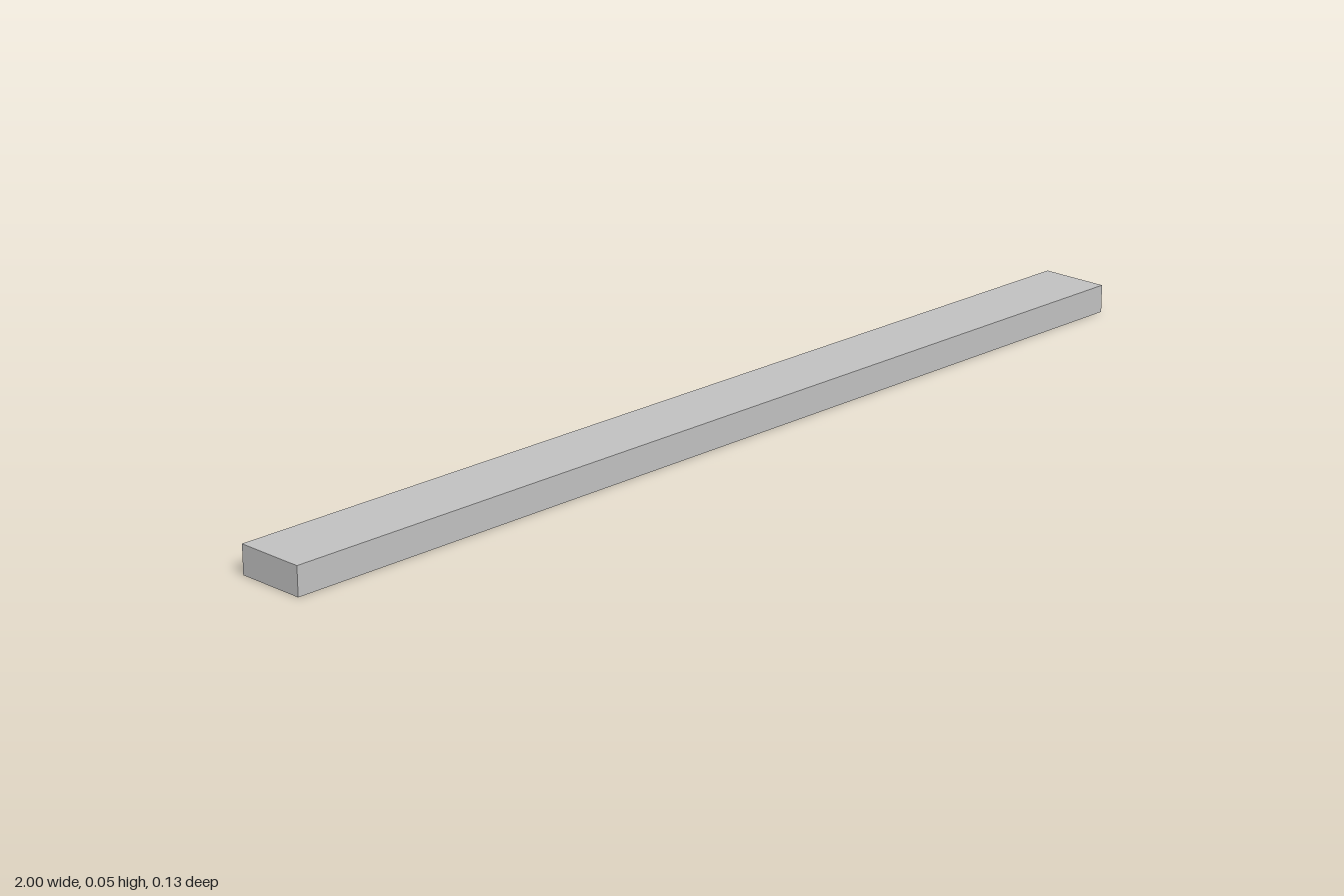
import * as THREE from 'three';

const W = 2, H = 0.0535, D = 0.134; // overall beam size
const LIP = 0.026;                  // depth of the hollow underside
const T = 0.002;                    // wall thickness

export function createModel() {
  const group = new THREE.Group();
  const grey = new THREE.MeshStandardMaterial({ color: 0xc0c0c0 });
  grey.name = 'light grey';

  // Rectangular wall ring standing on y = 0
  function ring(name, x, width, depth) {
    const shape = new THREE.Shape();
    const a = width / 2, b = depth / 2;
    shape.moveTo(-a, -b).lineTo(a, -b).lineTo(a, b).lineTo(-a, b).closePath();
    const hole = new THREE.Path();
    const c = a - T, d = b - T;
    hole.moveTo(-c, -d).lineTo(-c, d).lineTo(c, d).lineTo(c, -d).closePath();
    shape.holes.push(hole);
    const geo = new THREE.ExtrudeGeometry(shape, { depth: LIP, bevelEnabled: false });
    geo.rotateX(-Math.PI / 2);
    const mesh = new THREE.Mesh(geo, grey);
    mesh.name = name;
    mesh.position.x = x;
    group.add(mesh);
  }

  // Solid upper slab
  const slab = new THREE.Mesh(new THREE.BoxGeometry(W, H - LIP, D), grey);
  slab.name = 'topSlab';
  slab.position.y = (H + LIP) / 2;
  group.add(slab);

  // Outer skirt, and six separate rings in a row beneath the slab
  ring('outerSkirt', 0, W, D);
  const pitch = W / 6;
  for (let i = 0; i < 6; i++) {
    ring('undersideRing' + (i + 1), (i - 2.5) * pitch, pitch - 0.06, 0.1);
  }
  return group;
}
